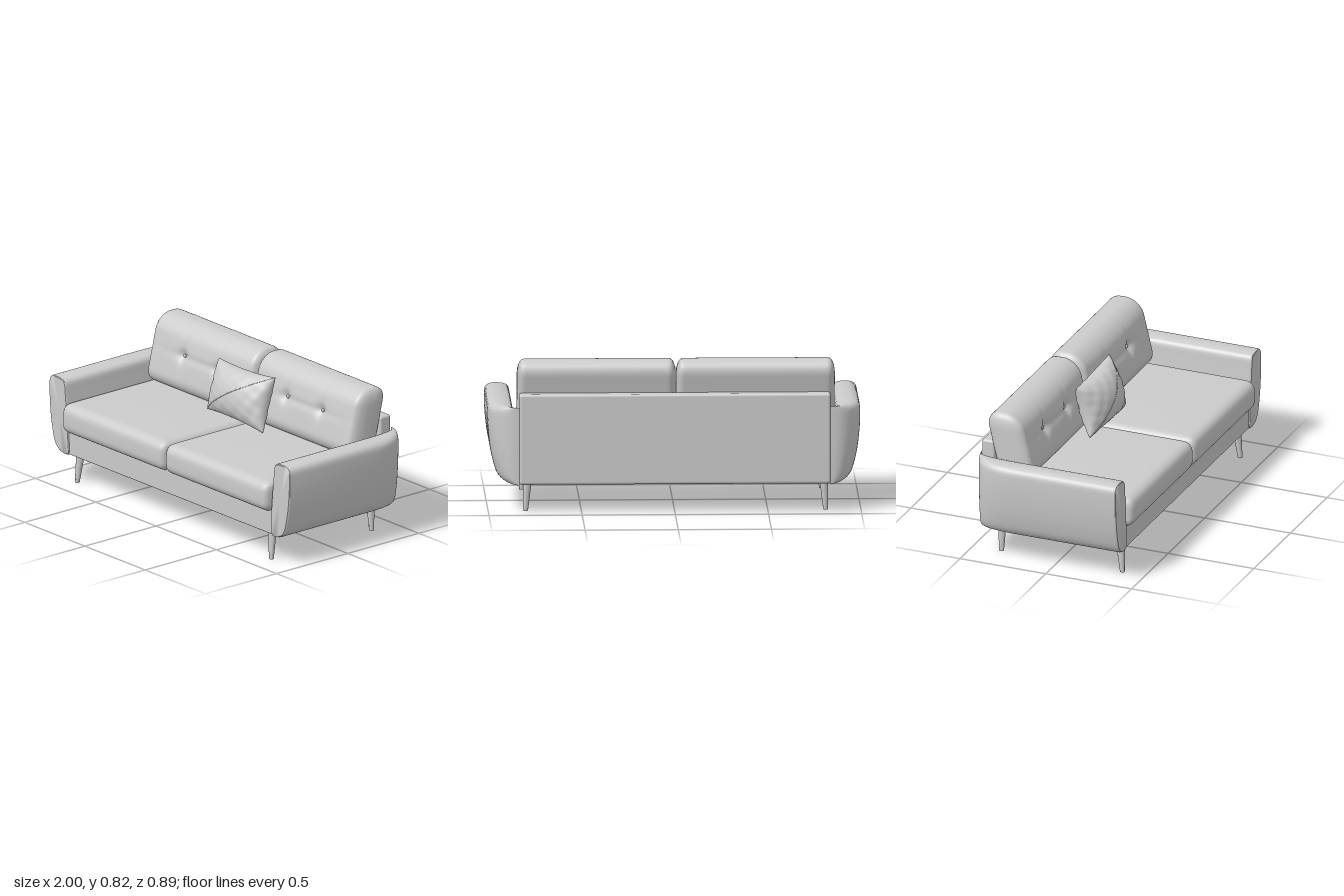
import * as THREE from 'three';
import { mergeVertices, mergeGeometries, toCreasedNormals } from 'three/addons/utils/BufferGeometryUtils.js';
import { RoundedBoxGeometry } from 'three/addons/geometries/RoundedBoxGeometry.js';

const material = new THREE.MeshStandardMaterial({ color: 0xcccccc });
const MID = -0.008; // gap between the two halves

function add(parent, name, geometry, x = 0, y = 0, z = 0) {
  const mesh = new THREE.Mesh(geometry, material);
  mesh.name = name;
  mesh.position.set(x, y, z);
  parent.add(mesh);
  return mesh;
}

// Box with elliptical rounding (radii r per axis), then reshaped by a rule
function cushion(size, r, segments, rule) {
  const g = new THREE.BoxGeometry(...size, ...segments);
  g.deleteAttribute('uv');
  g.deleteAttribute('normal');
  const geo = mergeVertices(g, 1e-5);
  const pos = geo.attributes.position;
  const p = new THREE.Vector3();
  for (let i = 0; i < pos.count; i++) {
    p.fromBufferAttribute(pos, i);
    const inner = p.toArray().map((v, a) => THREE.MathUtils.clamp(v, r[a] - size[a] / 2, size[a] / 2 - r[a]));
    const d = new THREE.Vector3(...p.toArray().map((v, a) => (v - inner[a]) / r[a]));
    if (d.length() > 1e-6) d.normalize();
    p.set(inner[0] + d.x * r[0], inner[1] + d.y * r[1], inner[2] + d.z * r[2]);
    rule(p);
    pos.setXYZ(i, p.x, p.y, p.z);
  }
  geo.computeVertexNormals();
  return geo;
}

// Arm: one closed section lofted along z, curving in towards the back
function armGeometry() {
  const outline = new THREE.CatmullRomCurve3([
    [0.845, 0.156], [0.9, 0.155], [0.945, 0.185], [0.975, 0.27], [0.993, 0.38], [1, 0.5],
    [0.995, 0.555], [0.97, 0.575], [0.9, 0.575], [0.872, 0.56], [0.862, 0.5], [0.848, 0.36], [0.84, 0.25]
  ].map(([x, y]) => new THREE.Vector3(x, y, 0)), true, 'centripetal');
  const section = outline.getPoints(52).slice(0, 52);
  const n = section.length, cx = 0.915, cy = 0.38;
  // rows: z, width factor, inset
  const rows = [[0.405, 1, 1], [0.405, 1, 0.016], [0.402, 1, 0.006], [0.393, 1, 0]];
  for (let i = 0; i <= 22; i++) {
    const t = Math.sin((i / 22) * Math.PI / 2);
    const k = Math.pow(Math.max(0, 1 - Math.pow(t, 2.5)), 0.4);
    rows.push([-0.2 - 0.243 * t, k, 0.01 * t ** 6]);
  }
  const verts = [], index = [];
  rows.forEach(([z, k, inset], j) => section.forEach(({ x, y }) => {
    const s = inset === 1 ? 0 : 1;
    const px = cx + (x - cx) * s * (1 - inset * s * 4);
    const py = cy + (y - cy) * s * (1 - inset * s * 2);
    verts.push(0.835 + (px - 0.835) * k, py, z);
  }));
  for (let j = 0; j < rows.length - 1; j++) for (let i = 0; i < n; i++) {
    const a = j * n + i, b = j * n + (i + 1) % n;
    index.push(a, a + n, b, b, a + n, b + n);
  }
  const g = new THREE.BufferGeometry();
  g.setAttribute('position', new THREE.Float32BufferAttribute(verts, 3));
  g.setIndex(index);
  return g;
}

function mirrorX(geometry) {
  const g = geometry.clone().scale(-1, 1, 1);
  const idx = g.index.array;
  for (let i = 0; i < idx.length; i += 3) [idx[i], idx[i + 1]] = [idx[i + 1], idx[i]];
  return g;
}

// Throw pillow surface: u, v in -1..1, side +1 front or -1 back
function pillowPoint(u, v, side) {
  const x = 0.232 * u * (1 - 0.07 * (1 - v * v));
  const y = 0.148 * v * (1 - 0.09 * (1 - u * u)) + 0.006 * u * v;
  const full = Math.pow(Math.max(0, (1 - u * u) * (1 - v * v)), 0.45);
  const edge = Math.max(Math.abs(u), Math.abs(v));
  const wrinkle = 0.004 * Math.sin(13 * u + 4 * v) * Math.sin(11 * v - 3 * u) * edge * Math.min(1, full * 2);
  return new THREE.Vector3(x, y, side * ((side > 0 ? 0.1 : 0.075) * full + wrinkle));
}

function pillowSide(side) {
  const g = new THREE.PlaneGeometry(2, 2, 40, 32);
  if (side < 0) g.rotateY(Math.PI);
  const pos = g.attributes.position;
  for (let i = 0; i < pos.count; i++) {
    // cluster the grid near the seam
    const u = Math.sin(pos.getX(i) * Math.PI / 2), v = Math.sin(pos.getY(i) * Math.PI / 2);
    pos.setXYZ(i, ...pillowPoint(u, v, side).toArray());
  }
  g.computeVertexNormals();
  return g;
}

// Tapered leg between two points
function leg(parent, name, top, bottom) {
  const a = new THREE.Vector3(...top), b = new THREE.Vector3(...bottom);
  const g = new THREE.CylinderGeometry(0.024, 0.013, 1, 24);
  const pos = g.attributes.position;
  for (let i = 0; i < pos.count; i++) {
    const c = new THREE.Vector3().lerpVectors(b, a, pos.getY(i) + 0.5);
    pos.setXYZ(i, c.x + pos.getX(i), c.y, c.z + pos.getZ(i));
  }
  add(parent, name, toCreasedNormals(g, 0.7));
}

export function createModel() {
  const sofa = new THREE.Group();
  sofa.name = 'sofa';

  // Arms
  const arm = armGeometry();
  add(sofa, 'leftArm', toCreasedNormals(arm, 0.6));
  add(sofa, 'rightArm', toCreasedNormals(mirrorX(arm), 0.6));

  // Open-bottomed frame
  add(sofa, 'frontRail', new RoundedBoxGeometry(1.7, 0.135, 0.07, 3, 0.006), 0, 0.223, 0.363);
  add(sofa, 'backPanel', new RoundedBoxGeometry(1.67, 0.49, 0.075, 4, 0.014), 0, 0.4, -0.4065);

  const gauss = (d, w) => Math.exp(-(d * d) / (w * w));
  for (const side of [1, -1]) {
    const label = side > 0 ? 'left' : 'right';
    const cx = MID + side * 0.427;

    // Seat cushion, slightly crowned on top and soft in front
    add(sofa, label + 'SeatCushion', cushion([0.846, 0.165, 0.79], [0.03, 0.05, 0.045], [40, 14, 40], p => {
      const crown = Math.max(0, (1 - (p.x / 0.423) ** 2) * (1 - (p.z / 0.395) ** 2));
      if (p.y > 0) p.y += 0.008 * crown;
      if (p.z > 0.3) p.z += 0.006 * (1 - (p.y / 0.09) ** 2);
    }), cx, 0.367, 0.044);

    // Back cushion, leaning back with two tufts
    const back = add(sofa, label + 'BackCushion', cushion([0.852, 0.375, 0.2], [0.035, 0.085, 0.085], [64, 36, 18], p => {
      const front = THREE.MathUtils.smoothstep(p.z, 0, 0.08);
      let dent = 0;
      for (const tx of [-0.145, 0.145]) {
        dent += 0.02 * gauss(Math.hypot(p.x - tx, p.y - 0.02), 0.035);
        dent += 0.006 * gauss(p.x - tx, 0.012) * gauss(p.y - 0.02, 0.12);
      }
      dent += 0.007 * gauss(p.y - 0.02, 0.02) * gauss(p.x, 0.26);
      const puff = 0.012 * (1 - (p.x / 0.426) ** 2) * (1 - (p.y / 0.19) ** 2);
      p.z += front * (puff - dent) - 0.24 * p.y;
    }), cx, 0.632, -0.278);
    for (const tx of [-0.145, 0.145]) {
      const button = add(back, 'tuftButton', new THREE.SphereGeometry(0.011, 16, 10), tx, 0.02, 0.082);
      button.scale.z = 0.5;
    }

    // Legs with hidden corner blocks
    leg(sofa, label + 'FrontLeg', [side * 0.795 - 0.006, 0.17, 0.35], [side * 0.805 - 0.006, 0, 0.366]);
    leg(sofa, label + 'BackLeg', [side * 0.795 - 0.006, 0.17, -0.338], [side * 0.805 - 0.006, 0, -0.338]);
    add(sofa, label + 'CornerBlock', new THREE.BoxGeometry(0.09, 0.12, 0.07), side * 0.8, 0.222, -0.342);
  }

  // Throw pillow with a diagonal seam
  const pillow = new THREE.Group();
  pillow.name = 'throwPillow';
  pillow.position.set(-0.01, 0.607, -0.108);
  pillow.rotation.x = -0.29;
  sofa.add(pillow);
  add(pillow, 'pillowCover', mergeGeometries([pillowSide(1), pillowSide(-1)]));
  const seam = [];
  for (let i = 0; i <= 40; i++) {
    const t = Math.sin((i / 20 - 1) * Math.PI / 2) * 0.995;
    seam.push(pillowPoint(t, t, 1));
  }
  add(pillow, 'pillowSeam', new THREE.TubeGeometry(new THREE.CatmullRomCurve3(seam), 80, 0.002, 6));

  return sofa;
}
